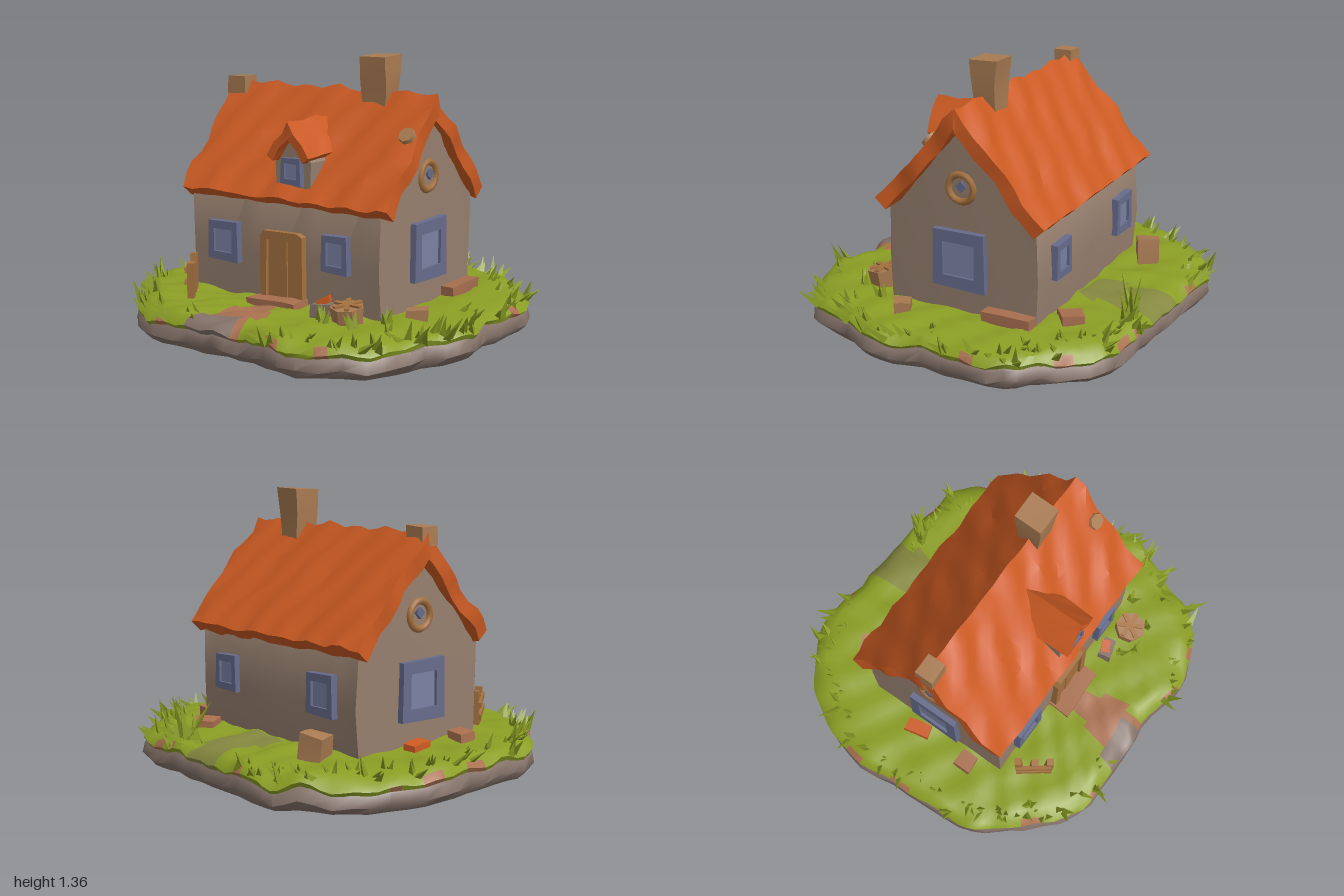
import * as THREE from 'three';
import { mergeGeometries, toCreasedNormals } from 'three/addons/utils/BufferGeometryUtils.js';

const material = (name, color, side = THREE.FrontSide) => {
  const m = new THREE.MeshStandardMaterial({ color, side });
  m.name = name;
  return m;
};

// Smooth bumpiness that depends only on position, so shared corners stay joined
const noise = (x, y, z) =>
  (Math.sin(x * 13 + y * 7 + 1) + Math.sin(z * 17 - x * 9 + 2) + Math.sin(y * 19 + z * 11 + x * 23)) / 3;

function roughen(geometry, amount, crease = 0.7) {
  const p = geometry.attributes.position;
  for (let i = 0; i < p.count; i++) {
    const x = p.getX(i), y = p.getY(i), z = p.getZ(i);
    p.setXYZ(i, x + amount * noise(x, y, z), y + amount * noise(y + 3, z, x), z + amount * noise(z + 5, x, y));
  }
  return toCreasedNormals(geometry, crease);
}

let seed = 7;
const random = () => (seed = (seed * 16807) % 2147483647) / 2147483647;

// Island outline seen from above (x, z)
const outline = new THREE.CatmullRomCurve3([
  [0.92, 0], [0.94, 0.27], [0.84, 0.45], [0.74, 0.7], [0.42, 0.87], [0.1, 0.82], [-0.15, 0.84], [-0.5, 0.8],
  [-0.74, 0.58], [-0.87, 0.4], [-0.9, 0.05], [-0.92, -0.3], [-0.8, -0.6], [-0.6, -0.8], [-0.4, -0.87],
  [0, -0.83], [0.35, -0.81], [0.62, -0.76], [0.78, -0.56], [0.92, -0.4],
].map(([x, z]) => new THREE.Vector3(x, 0, z)), true);

// Stacked scaled outlines; rings are [scale, height, bump], pick chooses a material index per face
function loft(rings, segments, pick) {
  const position = [], faces = [];
  const edge = outline.getPoints(segments);
  for (const [s, y, bump] of rings)
    for (let j = 0; j < segments; j++) {
      const x = edge[j].x * s, z = edge[j].z * s, k = 1 + bump * 0.6 * noise(x * 1.3, y, z * 1.3);
      position.push(x * k, y + bump * noise(x * 1.6, s, z * 1.6), z * k);
    }
  for (let i = 0; i < rings.length - 1; i++)
    for (let j = 0; j < segments; j++) {
      const a = i * segments + j, b = i * segments + (j + 1) % segments, c = a + segments, d = b + segments;
      const slot = pick(position[a * 3], position[a * 3 + 2], rings[i][0]);
      (faces[slot] ??= []).push(a, c, b, b, c, d);
    }
  const g = new THREE.BufferGeometry();
  g.setAttribute('position', new THREE.Float32BufferAttribute(position, 3));
  g.setIndex(faces.flat());
  let start = 0;
  faces.forEach((f, slot) => { g.addGroup(start, f.length, slot); start += f.length; });
  return toCreasedNormals(g, 0.9);
}

// Bent slab: a box folded over a ridge, length along x
function gableRoof(length, front, back, ridge, eave, thick, rows, bump) {
  const g = new THREE.BoxGeometry(length, 1, 2, Math.round(length * 18), 1, rows * 2);
  const p = g.attributes.position;
  for (let i = 0; i < p.count; i++) {
    const w = p.getZ(i), t = p.getY(i) - 0.5, x = p.getX(i);
    const reach = w > 0 ? front : back, drop = ridge - eave, slope = Math.hypot(reach, drop);
    const inset = Math.abs(w) < 0.01 ? 0 : Math.sign(w) * drop / slope * thick * t;
    const down = Math.abs(w) < 0.01 ? thick * slope / reach : thick * reach / slope;
    const wave = bump * (noise(x * 1.5, w * 2, t) + 0.6 * Math.sin(x * 31 + w * 9));
    p.setXYZ(i, x + bump * 0.9 * Math.sin(w * 14), ridge - Math.abs(w) * drop + down * t + wave, w * reach + inset + wave * Math.sign(w) * 0.6);
  }
  return toCreasedNormals(g, 0.6);
}

const polygon = (points) => new THREE.Shape(points.map(([x, y]) => new THREE.Vector2(x, y)));
const extrude = (shape, depth, steps = 1) => new THREE.ExtrudeGeometry(shape, { depth, steps, bevelEnabled: false });

export function createModel() {
  const model = new THREE.Group();
  model.name = 'cottage';
  const roofTile = material('roof tile', 0xcb5a22), plaster = material('plaster', 0x967f6e);
  const stone = material('stone', 0x85736a), grass = material('grass', 0x8b9e24, THREE.DoubleSide);
  const dryGrass = material('dry grass', 0x85883f), earth = material('earth', 0xa9704f);
  const wood = material('wood', 0xa5713f), clay = material('clay', 0xa97b52);
  const frameBlue = material('window frame', 0x676c8c), glass = material('window glass', 0x7b82a4);

  const add = (name, geometry, mat, x = 0, y = 0, z = 0, parent = model) => {
    const mesh = new THREE.Mesh(geometry, mat);
    mesh.name = name;
    mesh.position.set(x, y, z);
    parent.add(mesh);
    return mesh;
  };

  // Island: stone underside and a lawn with path and worn patches
  add('stoneBase', loft([[0.002, 0, 0], [0.9, 0.005, 0], [0.97, 0.02, 0.01], [1.01, 0.06, 0.02], [1, 0.11, 0.02], [0.95, 0.15, 0.01]], 72, () => 0), [stone]);
  const lawnRings = [[0.985, 0.105, 0.025], [1.005, 0.135, 0.025], [0.98, 0.165, 0.022], [0.94, 0.18, 0.02]];
  for (let s = 0.88; s > 0; s -= 0.06) lawnRings.push([s, 0.19, 0.015]);
  const ground = (x, z, s) => {
    if (z > 0.74 && x > -0.17 && x < 0.06) return 3;
    if (z > 0.35 && Math.abs(x - 0.02) < 0.1 + 0.03 * Math.sin(z * 20)) return 1;
    if (z < -0.45 && Math.abs(x - 0.03) < 0.13) return 2;
    return s > 0.98 && noise(x * 1.5, 0, z * 1.5) > 0.4 ? 1 : 0;
  };
  add('lawn', loft(lawnRings, 120, ground), [grass, earth, dryGrass, stone]);

  // Grass blades, in clumps round the rim
  const blades = [];
  const blade = (x, y, z, h, lean, turn, r = 0.018) => {
    const g = new THREE.ConeGeometry(r, h, 3);
    g.translate(0, h / 2, 0).rotateZ(-lean).rotateY(turn).translate(x, y, z);
    blades.push(g);
  };
  for (let i = 0; i < 64; i++) {
    const e = outline.getPoint(i / 64), s = 0.84 + 0.15 * random();
    if (Math.abs(e.x) < 0.2) continue;
    const away = Math.atan2(-e.z, e.x);
    for (let k = 0; k < 3; k++)
      blade(e.x * s + (random() - 0.5) * 0.06, 0.15, e.z * s + (random() - 0.5) * 0.06,
        0.07 + 0.06 * random(), 0.3 + 0.75 * random(), away + (random() - 0.5) * 2, 0.022);
  }
  for (const [x, z, h] of [[0.27, -0.76, 0.24], [0.24, -0.72, 0.16], [0.31, -0.74, 0.14], [0.4, 0.58, 0.1], [0.55, 0.55, 0.1], [0.34, 0.52, 0.09], [0.62, 0.4, 0.1], [-0.6, 0.6, 0.1]])
    for (let k = 0; k < 3; k++) blade(x, 0.17, z, h, 0.15 + 0.2 * k, k === 0 ? 1.57 : random() * 6, 0.025);
  add('grassBlades', toCreasedNormals(mergeGeometries(blades), 0.3), grass);

  // Walls with both gables
  const section = polygon([[0.37, 0.15], [0.38, 0.4], [0.37, 0.66], [0.02, 1.09], [-0.06, 1.09], [-0.41, 0.66], [-0.42, 0.4], [-0.41, 0.15]]);
  const walls = extrude(section, 1.12, 10).rotateY(-Math.PI / 2).translate(0.57, 0, 0);
  add('walls', roughen(walls, 0.01), plaster);

  // Main roof, ridge stub and repair patch
  add('roof', gableRoof(1.22, 0.43, 0.45, 1.185, 0.69, 0.075, 9, 0.012), roofTile, 0.01, 0, -0.02);
  add('ridgeStub', roughen(new THREE.BoxGeometry(0.1, 0.09, 0.1, 2, 2, 2), 0.008), clay, -0.55, 1.165, -0.01);
  const patch = add('roofPatch', new THREE.CylinderGeometry(0.04, 0.045, 0.03, 7), clay, 0.56, 1.005, 0.145);
  patch.rotation.x = 0.86;

  // Chimney, flared at the top
  const chimney = new THREE.CylinderGeometry(0.105, 0.08, 0.26, 4, 4).rotateY(Math.PI / 4);
  add('chimney', roughen(chimney, 0.01), clay, 0.295, 1.225, -0.025);

  // Window: frame with an opening and a pane, facing +z
  const addWindow = (name, w, h, x, y, z, turn = 0, parent = model) => {
    const group = new THREE.Group();
    group.name = name;
    const rim = Math.min(w, h) * 0.2;
    const shape = polygon([[-w / 2, -h / 2], [w / 2, -h / 2 - 0.008], [w / 2 - 0.006, h / 2 + 0.005], [-w / 2 + 0.006, h / 2]]);
    const a = w / 2 - rim, b = h / 2 - rim;
    shape.holes.push(new THREE.Path([[-a, -b], [-a, b], [a, b], [a, -b]].map((q) => new THREE.Vector2(...q))));
    add('frame', extrude(shape, 0.05), frameBlue, 0, 0, -0.02, group);
    add('pane', new THREE.BoxGeometry(a * 2, b * 2, 0.008), glass, 0, 0, 0.012, group);
    group.position.set(x, y, z);
    group.rotation.y = turn;
    parent.add(group);
  };
  const quarter = Math.PI / 2;
  addWindow('frontWindowRight', 0.19, 0.19, -0.335, 0.445, 0.38);
  addWindow('frontWindowLeft', 0.15, 0.17, 0.335, 0.465, 0.38);
  addWindow('backWindowLeft', 0.16, 0.17, 0.36, 0.46, -0.42, Math.PI);
  addWindow('backWindowRight', 0.18, 0.19, -0.33, 0.45, -0.42, Math.PI);

  // Gable ends: large window and a round vent on each
  for (const side of [1, -1]) {
    const x = side > 0 ? 0.57 : -0.55;
    addWindow(side > 0 ? 'sideWindowLeft' : 'sideWindowRight', 0.28, 0.28, x, 0.45, -0.015, side * quarter);
    const ring = add('roundVent', new THREE.TorusGeometry(0.066, 0.018, 6, 18), wood, x, 0.8, -0.02);
    ring.rotation.y = quarter;
    const pane = add('ventPane', new THREE.CylinderGeometry(0.028, 0.028, 0.03, 4), frameBlue, x, 0.81, -0.025);
    pane.rotation.z = quarter;
  }

  // Door with frame, planks and step
  const doorFrame = polygon([[-0.1, 0.17], [0.155, 0.17], [0.15, 0.52], [0.12, 0.535], [-0.08, 0.53], [-0.1, 0.5]]);
  doorFrame.holes.push(new THREE.Path([[-0.065, 0.18], [-0.06, 0.49], [0.11, 0.49], [0.115, 0.18]].map((q) => new THREE.Vector2(...q))));
  add('doorFrame', extrude(doorFrame, 0.05), wood, 0, 0, 0.36);
  for (let i = 0; i < 3; i++)
    add('doorPlank', new THREE.BoxGeometry(0.056, 0.32, 0.02), wood, -0.033 + i * 0.059, 0.335, 0.385 + (i % 2) * 0.004);
  add('doorStep', roughen(new THREE.BoxGeometry(0.27, 0.06, 0.12, 4, 1, 2), 0.01), earth, 0.025, 0.185, 0.43);

  // Dormer
  const dormer = new THREE.Group();
  dormer.name = 'dormer';
  dormer.position.set(0.065, 0, 0);
  model.add(dormer);
  const dormerWall = polygon([[-0.1, 0.75], [0.1, 0.745], [0.105, 0.87], [0, 1], [-0.105, 0.87]]);
  add('dormerWall', extrude(dormerWall, 0.3), plaster, 0, 0, 0.06, dormer);
  addWindow('dormerWindow', 0.12, 0.12, 0.005, 0.825, 0.36, 0, dormer);
  const dormerRoof = gableRoof(0.34, 0.12, 0.12, 1.06, 0.9, 0.045, 3, 0.007);
  add('dormerRoof', dormerRoof.rotateY(quarter), roofTile, 0, 0, 0.235, dormer);

  // Lumpy block for rocks and odds and ends
  const block = (name, mat, w, h, d, x, y, z, turn = 0, tilt = 0) => {
    const mesh = add(name, roughen(new THREE.BoxGeometry(w, h, d, 2, 2, 2), 0.012), mat, x, y, z);
    mesh.rotation.set(0, turn, tilt);
  };
  block('rock', clay, 0.11, 0.14, 0.12, -0.42, 0.23, -0.55, 0.4, 0.15);
  block('rock', clay, 0.09, 0.06, 0.09, 0.68, 0.2, 0.24, 0.5);
  block('rock', earth, 0.07, 0.07, 0.26, 0.6, 0.205, -0.28);
  block('rock', earth, 0.1, 0.05, 0.12, 0.42, 0.2, -0.52, 0.6);
  block('fallenTile', roofTile, 0.06, 0.03, 0.05, 0.3, 0.245, 0.44, 0.4, 0.4);
  block('stoneBlock', stone, 0.09, 0.08, 0.07, 0.3, 0.2, 0.45, 0.2);
  block('fallenTile', roofTile, 0.06, 0.03, 0.14, -0.62, 0.205, -0.1, 0.2);
  block('rock', earth, 0.08, 0.05, 0.1, -0.62, 0.2, 0.2);

  // Wooden tub
  const tub = add('tub', toCreasedNormals(new THREE.CylinderGeometry(0.08, 0.07, 0.09, 7), 0.3), clay, 0.47, 0.22, 0.485);
  tub.rotation.x = 0.12;
  for (let i = 0; i < 3; i++) {
    const bar = add('tubSlat', new THREE.BoxGeometry(0.14, 0.012, 0.022), wood, 0.47, 0.27, 0.485);
    bar.rotation.set(0.12, i * Math.PI / 3, 0);
  }

  // Short fence
  const fence = new THREE.Group();
  fence.name = 'fence';
  fence.position.set(-0.445, 0.17, 0.51);
  fence.rotation.y = -0.95;
  model.add(fence);
  for (const [x, h, lean] of [[-0.075, 0.2, 0.06], [0, 0.17, -0.05], [0.075, 0.19, -0.08]])
    add('fencePost', new THREE.BoxGeometry(0.035, h, 0.035), wood, x, h / 2, 0, fence).rotation.z = lean;
  for (const y of [0.08, 0.14])
    add('fenceRail', new THREE.BoxGeometry(0.18, 0.025, 0.02), wood, 0, y, 0.02, fence).rotation.z = 0.12;

  return model;
}
